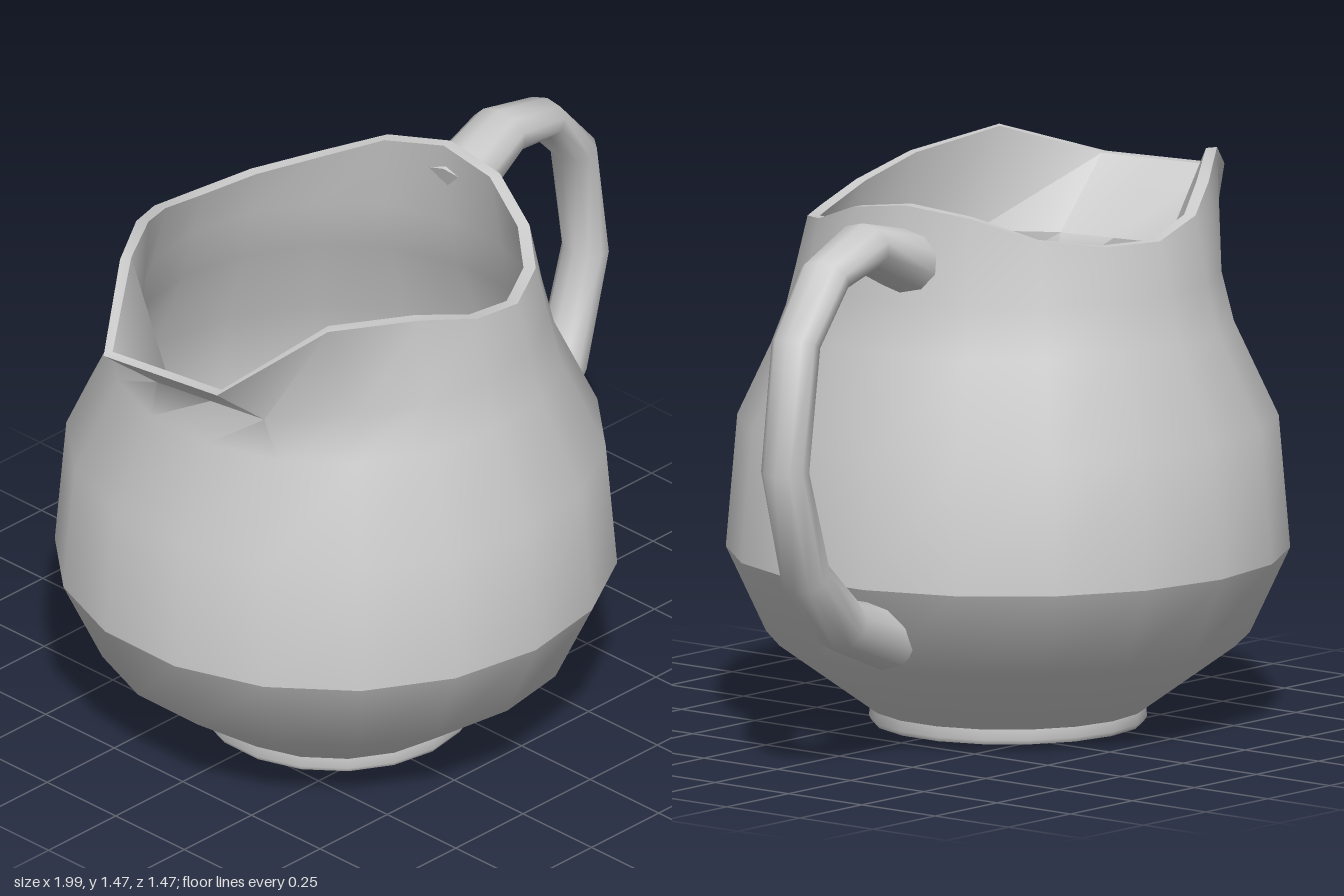
import * as THREE from 'three';
import { toCreasedNormals } from 'three/addons/utils/BufferGeometryUtils.js';

const SIDES = 18;
const V = (x, y, z) => new THREE.Vector3(x, y, z);

// Skin a stack of closed rings; the rings run counter-clockwise about the direction of travel
function loft(rings, crease) {
  const n = rings[0].length, index = [];
  for (let i = 0; i < rings.length - 1; i++) {
    for (let j = 0; j < n; j++) {
      const k = (j + 1) % n, a = i * n, b = a + n;
      index.push(a + j, a + k, b + k, a + j, b + k, b + j);
    }
  }
  const geo = new THREE.BufferGeometry().setFromPoints(rings.flat());
  geo.setIndex(index);
  geo.computeVertexNormals();
  return crease ? toCreasedNormals(geo, crease) : geo;
}

// Round horizontal ring
function ring(r, y) {
  return Array.from({ length: SIDES }, (_, j) => {
    const a = (j / SIDES) * Math.PI * 2;
    return V(r * Math.cos(a), y, -r * Math.sin(a));
  });
}

// Ring from its half outline (handle side to spout side), mirrored in z
function mirrored(half) {
  const back = half.map(([x, y, z]) => V(x, y, -z));
  const front = half.slice(1, -1).reverse().map(([x, y, z]) => V(x, y, z));
  return [...back, ...front];
}

// Copy of a ring pulled towards the axis and raised
function inset(points, t, lift = 0) {
  return points.map((p) => {
    const s = 1 - t / Math.hypot(p.x, p.z);
    return V(p.x * s, p.y + lift, p.z * s);
  });
}

export function createModel() {
  const model = new THREE.Group();
  model.name = 'jug';
  const jug = new THREE.Group();
  jug.name = 'jugParts';
  jug.position.x = -0.18;
  jug.rotation.y = THREE.MathUtils.degToRad(9.5);
  model.add(jug);

  const material = new THREE.MeshStandardMaterial({ color: 0xcccccc });
  const add = (name, geo) => {
    const mesh = new THREE.Mesh(geo, material);
    mesh.name = name;
    jug.add(mesh);
  };

  // Neck ring, squared off where the spout leaves the body
  const neck = ring(0.556, 1.19);
  for (const j of [8, 9, 10]) neck[j].set(-0.57, 1.18, (j - 9) * 0.17);

  // Wavy rim, drawn out into the spout
  const heights = [1.445, 1.42, 1.36, 1.335, 1.33, 1.37, 1.425];
  const half = heights.map((y, j) => {
    const a = (j / SIDES) * Math.PI * 2;
    return [0.522 * Math.cos(a), y, 0.522 * Math.sin(a)];
  });
  half.push([-0.51, 1.468, 0.33], [-0.8, 1.365, 0.18], [-0.8, 1.365, 0]);
  const rim = mirrored(half);
  const innerRim = inset(rim, 0.032);

  // Foot and outer wall
  add('base', loft([ring(0, 0), ring(0.355, 0)]));
  add('foot', loft([ring(0.355, 0), ring(0.362, 0.012), ring(0.36, 0.04)]));
  add('lowerBody', loft([ring(0.36, 0.04), ring(0.63, 0.235), ring(0.735, 0.46)]));
  add('upperBody', loft(
    [ring(0.735, 0.46), ring(0.705, 0.81), ring(0.588, 1.06), neck, rim], 0.85));

  // Lip and inside wall
  add('lip', loft([rim, innerRim]));
  add('insideWall', loft([
    innerRim, inset(neck, 0.032, 0.012), ring(0.555, 1.06), ring(0.67, 0.81),
    ring(0.7, 0.47), ring(0.595, 0.26), ring(0.335, 0.07),
  ], 0.85));
  add('insideFloor', loft([ring(0.335, 0.07), ring(0, 0.07)]));

  // Handle stations: x, y, half thickness, half width
  const stations = [
    [0.515, 1.295, 0.085, 0.098], [0.745, 1.37, 0.062, 0.085],
    [0.935, 1.32, 0.052, 0.075], [1.08, 1.165, 0.052, 0.068],
    [1.135, 0.835, 0.055, 0.066], [1.03, 0.54, 0.068, 0.068],
    [0.85, 0.385, 0.072, 0.078], [0.62, 0.315, 0.085, 0.098],
  ];
  const last = stations.length - 1;
  const sections = stations.map(([x, y, thick, wide], i) => {
    const p = stations[Math.max(i - 1, 0)], q = stations[Math.min(i + 1, last)];
    const len = Math.hypot(q[0] - p[0], q[1] - p[1]);
    const tx = (q[0] - p[0]) / len, ty = (q[1] - p[1]) / len;
    return Array.from({ length: 10 }, (_, j) => {
      const a = (j / 10) * Math.PI * 2, c = thick * Math.cos(a);
      return V(x - ty * c, y + tx * c, wide * Math.sin(a));
    });
  });
  // Closed ends
  const cap = (i) => sections[i].map(() => V(stations[i][0], stations[i][1], 0));
  add('handle', loft([cap(0), ...sections, cap(last)], 1.1));

  return model;
}
